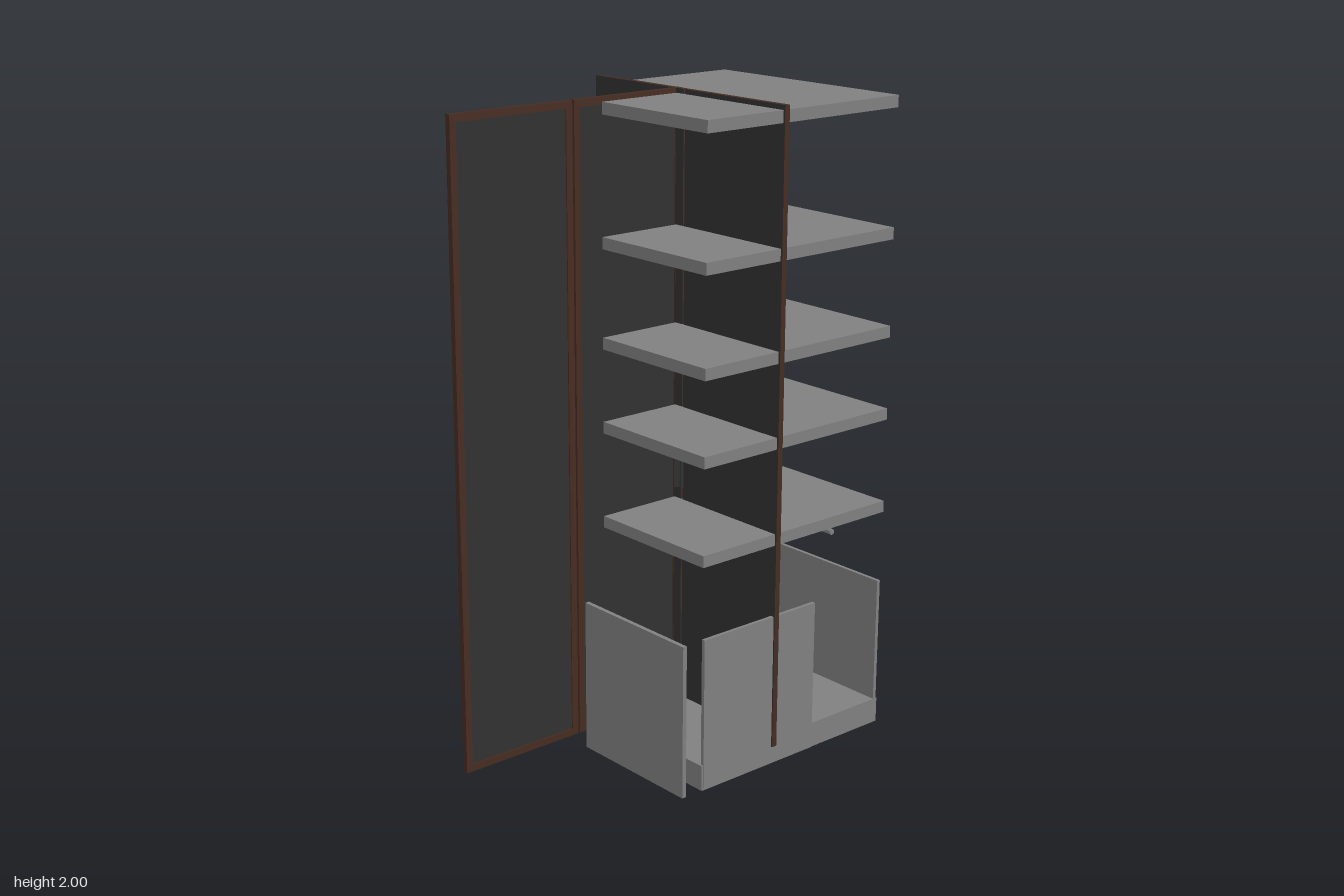
import * as THREE from 'three';

const mat = (name, color) => {
  const m = new THREE.MeshStandardMaterial({ color });
  m.name = name;
  return m;
};

export function createModel() {
  const model = new THREE.Group();
  const grey = mat('greyBoard', 0x808080);
  const black = mat('blackPanel', 0x313131);
  const brown = mat('brownFrame', 0x472c21);

  const add = (parent, name, geometry, material) => {
    const mesh = new THREE.Mesh(geometry, material);
    mesh.name = name;
    parent.add(mesh);
    return mesh;
  };
  // Box given by its lower and upper corners
  const box = (parent, name, material, x0, x1, y0, y1, z0, z1) => {
    const mesh = add(parent, name, new THREE.BoxGeometry(x1 - x0, y1 - y0, z1 - z0), material);
    mesh.position.set((x0 + x1) / 2, (y0 + y1) / 2, (z0 + z1) / 2);
    return mesh;
  };

  // L-shaped boards of the corner unit
  const outline = [[-0.34, -0.635], [-0.34, -0.181], [-0.042, -0.181], [-0.042, 0.11], [0.406, 0.11], [0.406, -0.635]];
  const board = (name, bottom, thickness) => {
    const shape = new THREE.Shape(outline.map(([x, z]) => new THREE.Vector2(x, -z)));
    const g = new THREE.ExtrudeGeometry(shape, { depth: thickness, bevelEnabled: false });
    g.rotateX(-Math.PI / 2);
    add(model, name, g, grey).position.y = bottom;
  };
  board('lowerBase', 0, 0.04);
  board('upperBase', 0.04, 0.04);
  [0.705, 1.002, 1.26, 1.56, 1.95].forEach((y, i) => board('shelf' + (i + 1), y, 0.036));

  // Low upright boards around the base
  box(model, 'rightSideBoard', grey, 0.396, 0.408, 0, 0.48, -0.345, 0.104);
  box(model, 'leftSideBoard', grey, -0.342, -0.33, 0, 0.48, -0.635, -0.191);
  box(model, 'backBoard', grey, -0.055, 0.405, 0.08, 0.48, -0.632, -0.62);
  box(model, 'frontBoard', grey, -0.042, 0.406, 0, 0.48, 0.171, 0.185);

  // Hanging rail
  const rail = add(model, 'hangingRail', new THREE.CylinderGeometry(0.009, 0.009, 0.8, 12), grey);
  rail.rotation.z = Math.PI / 2;
  rail.position.set(0.005, 0.691, -0.413);

  // Pair of framed doors: outer face on +z, joint at local x = 0
  const bottom = 0.055, top = 2, thick = 0.018, rim = 0.022;
  const rect = (Kind, x0, x1, y0, y1) =>
    new Kind([[x0, y0], [x1, y0], [x1, y1], [x0, y1]].map(([x, y]) => new THREE.Vector2(x, y)));
  const doorPair = (name, leftEnd, rightEnd) => {
    const pair = new THREE.Group();
    pair.name = name;
    [[leftEnd, -0.003], [0.003, rightEnd]].forEach(([x0, x1]) => {
      const door = new THREE.Group();
      door.name = 'door';
      const shape = rect(THREE.Shape, x0, x1, bottom, top);
      shape.holes.push(rect(THREE.Path, x0 + rim, x1 - rim, bottom + rim, top - rim));
      const frame = new THREE.ExtrudeGeometry(shape, { depth: thick - 0.002, bevelEnabled: false });
      add(door, 'doorFrame', frame, brown);
      box(door, 'innerPanel', black, x0 + rim, x1 - rim, bottom + rim, top - rim, 0.004, thick - 0.002);
      box(door, 'outerPanel', black, x0, x1, bottom, top, thick - 0.002, thick);
      pair.add(door);
    });
    // Flared handles either side of the joint
    for (const s of [-1, 1]) {
      const handle = box(pair, 'handle', black, -0.002, 0.002, 0.78, 0.975, -0.012, 0.012);
      handle.position.set(s * 0.009, 0.8775, thick + 0.009);
      handle.rotation.y = s * 0.5;
    }
    model.add(pair);
    return pair;
  };
  doorPair('crossDoors', -0.407, 0.42).position.set(-0.008, 0, -0.19);
  const side = doorPair('sideDoors', -0.405, 0.423);
  side.rotation.y = -Math.PI / 2;
  side.position.set(-0.044, 0, 0.212);

  return model;
}
